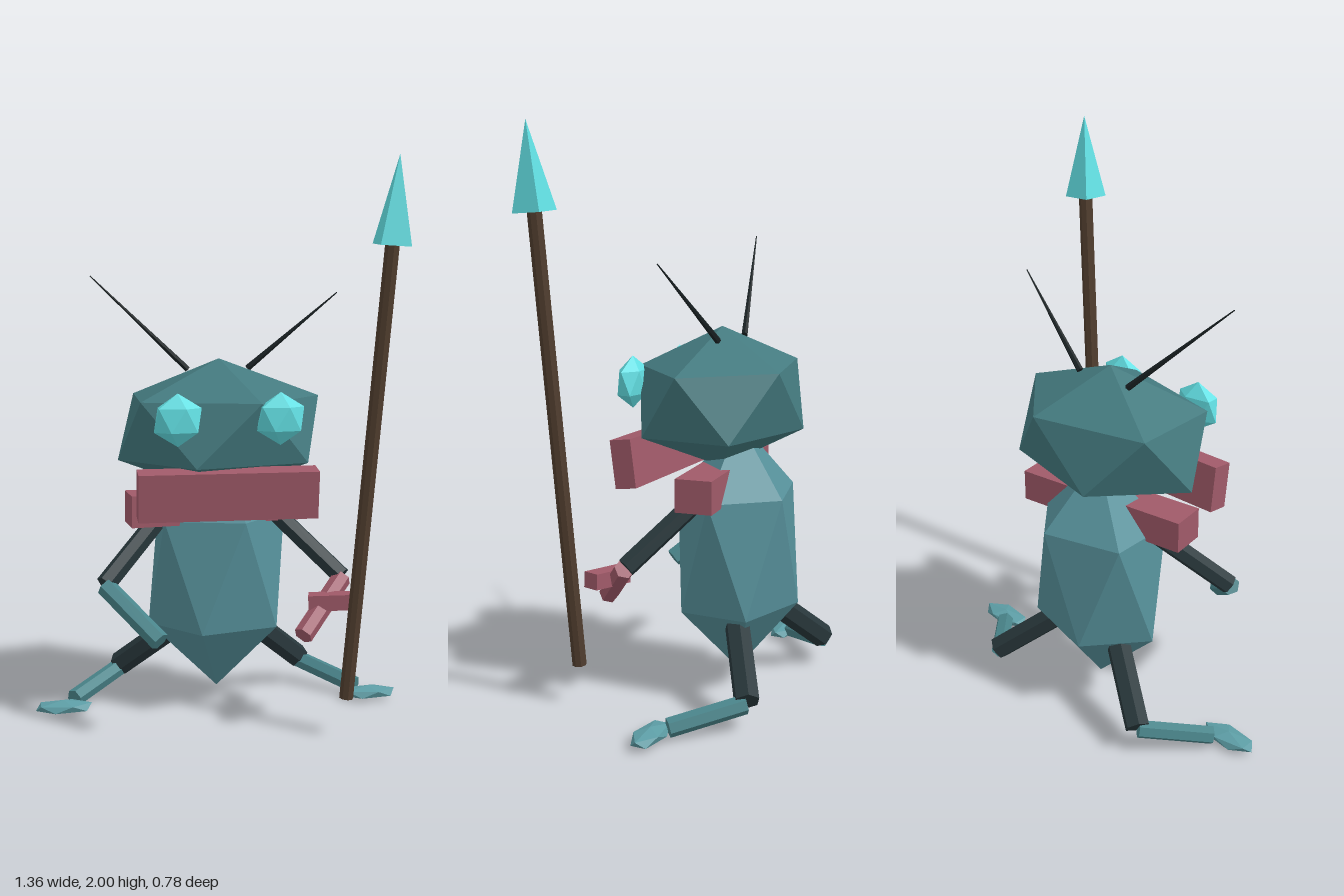
import * as THREE from 'three';
import { ConvexGeometry } from 'three/addons/geometries/ConvexGeometry.js';

const mat = (color) => new THREE.MeshStandardMaterial({ color, flatShading: true });
const MATS = {
  head: mat(0x447a7f),
  body: mat(0x56909a),
  limb: mat(0x4a858b),
  foot: mat(0x5c9ca4),
  dark: mat(0x28373b),
  feeler: mat(0x1a2224),
  cloth: mat(0xa05a69),
  wood: mat(0x503d2e),
  glow: mat(0x62e0e4),
};

// Twenty-sided ball standing on a corner: two poles and two offset rings of five
function gemGeometry() {
  const h = 1 / Math.sqrt(5);
  const points = [new THREE.Vector3(0, 1, 0), new THREE.Vector3(0, -1, 0)];
  for (let i = 0; i < 5; i++) {
    const a = (i * Math.PI * 2) / 5;
    const x = 2 * h * Math.cos(a);
    const z = 2 * h * Math.sin(a);
    points.push(new THREE.Vector3(x, h, z), new THREE.Vector3(-x, -h, z));
  }
  return new ConvexGeometry(points);
}

export function createModel() {
  const root = new THREE.Group();
  root.name = 'insectWarrior';
  const gem = gemGeometry();

  const add = (name, geometry, material, position) => {
    const mesh = new THREE.Mesh(geometry, material);
    mesh.name = name;
    mesh.position.set(...position);
    root.add(mesh);
    return mesh;
  };

  const addGem = (name, material, position, radii) =>
    add(name, gem, material, position).scale.set(...radii);

  const addBox = (name, size, position, rotation) =>
    add(name, new THREE.BoxGeometry(...size), MATS.cloth, position).rotation.set(...rotation);

  // Prism or cone running from point a to point b
  const addRod = (name, material, a, b, r0, r1, sides = 6, turn = 0) => {
    const from = new THREE.Vector3(...a);
    const dir = new THREE.Vector3(...b).sub(from);
    const geometry = new THREE.CylinderGeometry(r1, r0, dir.length(), sides).rotateY(turn);
    const mid = from.addScaledVector(dir, 0.5).toArray();
    const rod = add(name, geometry, material, mid);
    rod.quaternion.setFromUnitVectors(new THREE.Vector3(0, 1, 0), dir.normalize());
  };

  // Body and head
  addGem('body', MATS.body, [0, 0.525, -0.16], [0.285, 0.455, 0.235]);
  addGem('head', MATS.head, [0, 1.06, -0.095], [0.41, 0.25, 0.31]);

  for (const [side, s] of [['left', 1], ['right', -1]]) {
    addGem(side + 'Eye', MATS.glow, [s * 0.178, 1.12, 0.165], [0.092, 0.092, 0.046]);

    // Arms
    const elbow = [s * 0.425, 0.53, 0.06];
    addRod(side + 'UpperArm', MATS.dark, [s * 0.21, 0.74, -0.11], elbow, 0.036, 0.036);
    addRod(side + 'Forearm', s > 0 ? MATS.cloth : MATS.limb,
      [s * 0.425, 0.525, 0.065], [s * 0.25, 0.365, 0.23], 0.035, 0.035);

    // Legs and feet
    const knee = [s * 0.355, 0.105, -0.355];
    addRod(side + 'Thigh', MATS.dark, [s * 0.15, 0.29, -0.225], knee, 0.045, 0.045);
    addRod(side + 'Shin', MATS.limb, [s * 0.355, 0.095, -0.35], [s * 0.535, 0.045, -0.155], 0.033, 0.033);
    addGem(side + 'Foot', MATS.foot, [s * 0.575, 0.03, -0.11], [0.115, 0.026, 0.053]);
  }

  // Feelers of unequal length
  addRod('leftFeeler', MATS.feeler, [0.11, 1.27, -0.13], [0.425, 1.545, -0.065], 0.012, 0.002);
  addRod('rightFeeler', MATS.feeler, [-0.11, 1.27, -0.13], [-0.46, 1.605, -0.02], 0.012, 0.002);

  // Scarf and the binding on the left forearm
  addBox('scarfFront', [0.63, 0.17, 0.08], [0, 0.855, 0.131], [0.13, 0, 0]);
  addBox('scarfCollar', [0.67, 0.115, 0.13], [0, 0.773, -0.105], [0, 0.12, 0]);
  addBox('forearmBinding', [0.165, 0.055, 0.06], [0.367, 0.467, 0.165], [0, -0.25, 0.06]);

  // Spear
  addRod('spearShaft', MATS.wood, [0.398, 0.145, 0.265], [0.514, 1.71, 0.336], 0.025, 0.025, 8);
  addRod('spearTip', MATS.glow, [0.513, 1.708, 0.336], [0.53, 2, 0.352], 0.074, 0, 4, Math.PI / 4);

  return root;
}
